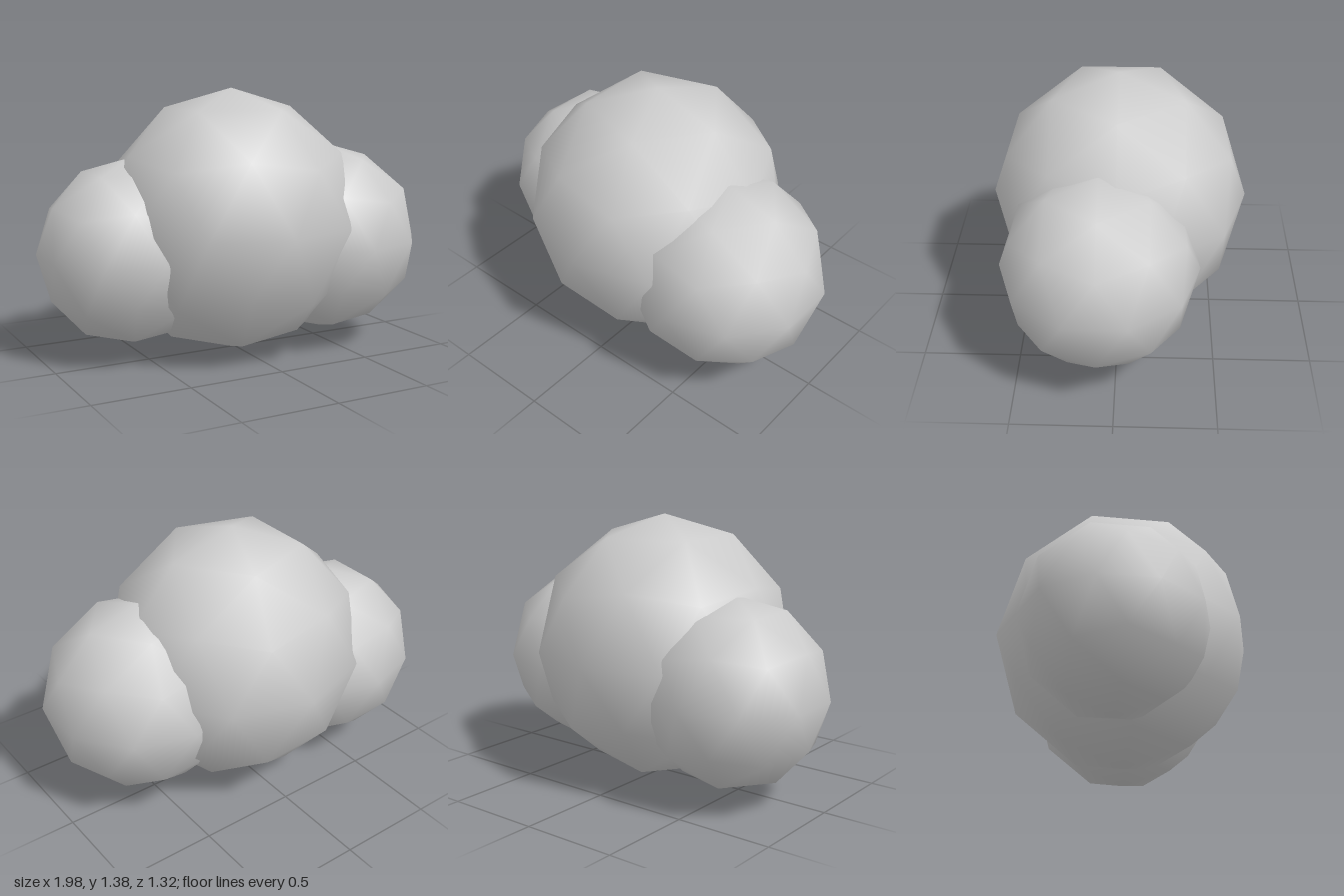
import * as THREE from 'three';

const material = new THREE.MeshStandardMaterial({ color: 0xcccccc });

// Smooth-shaded low-poly ball with a vertex at each pole
function puff(name, center, radii) {
  const geometry = new THREE.IcosahedronGeometry(1, 1);
  geometry.rotateX(-Math.atan((1 + Math.sqrt(5)) / 2)); // corner to the top
  geometry.rotateY(Math.PI / 2); // upper ring corner towards +x
  geometry.scale(...radii);
  geometry.translate(...center);
  const mesh = new THREE.Mesh(geometry, material);
  mesh.name = name;
  return mesh;
}

export function createModel() {
  const group = new THREE.Group();
  group.name = 'puffCluster';
  group.add(
    // Large middle ball
    puff('middlePuff', [-0.02, 0.69, 0], [0.675, 0.69, 0.658]),
    // Smaller balls on each side, one set forward and one back
    puff('leftPuff', [0.495, 0.575, 0.083], [0.515, 0.505, 0.495]),
    puff('rightPuff', [-0.545, 0.55, -0.12], [0.478, 0.482, 0.465]),
  );
  return group;
}
